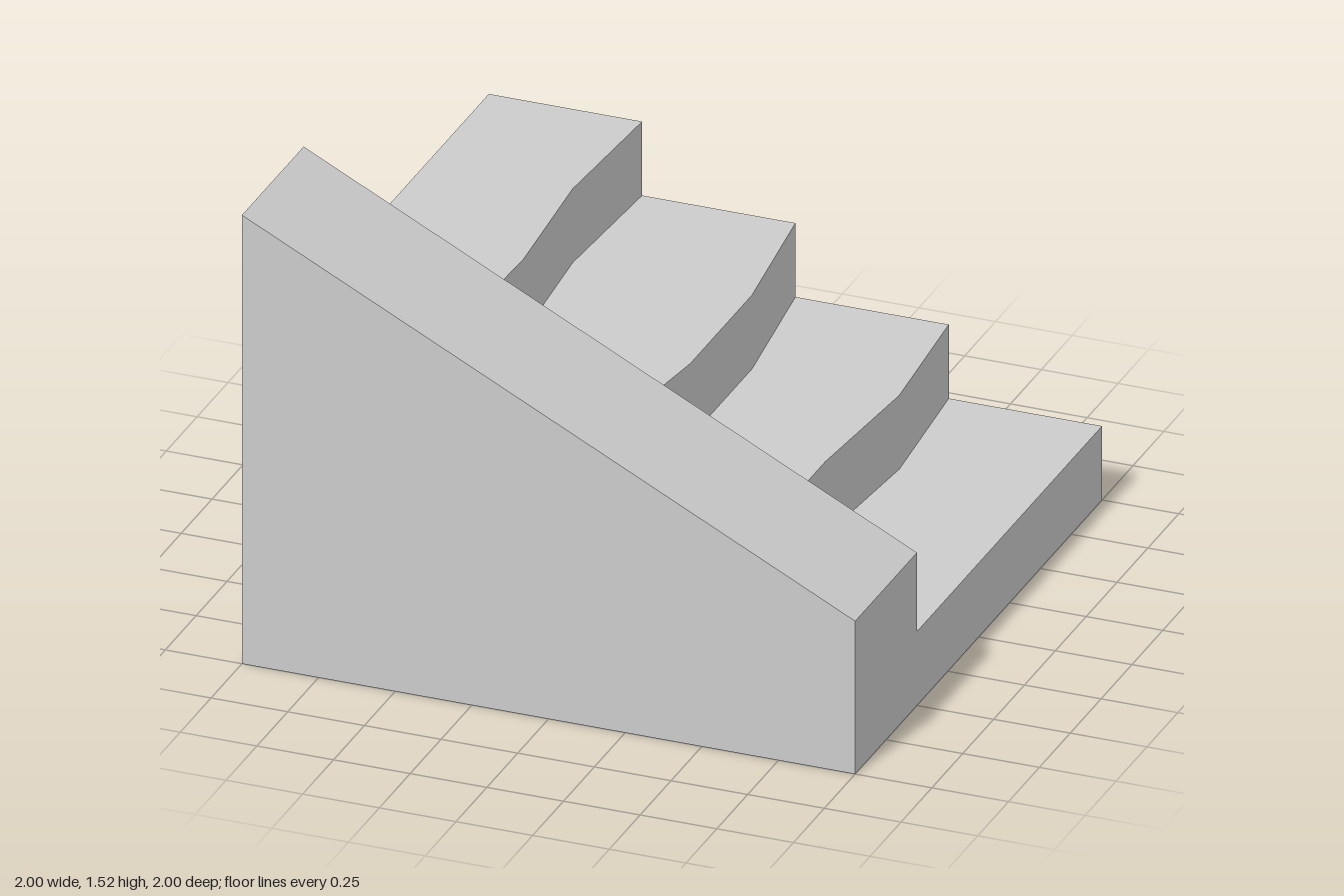
import * as THREE from 'three';

const material = new THREE.MeshStandardMaterial({ color: 0xcccccc, flatShading: true });

// Extrudes an (x, y) outline along z from zStart
function extrudeProfile(points, zStart, depth, steps = 1) {
  const shape = new THREE.Shape(points.map(([x, y]) => new THREE.Vector2(x, y)));
  const geometry = new THREE.ExtrudeGeometry(shape, { depth, steps, bevelEnabled: false });
  return geometry.translate(0, 0, zStart);
}

function makeMesh(name, geometry) {
  geometry.computeVertexNormals();
  const mesh = new THREE.Mesh(geometry, material);
  mesh.name = name;
  return mesh;
}

// Four steps descending towards +x, with worn, slightly wavy edges
function createSteps() {
  const count = 4, rise = 0.25, run = 0.5;
  const outline = [[-1, 0], [1, 0]];
  for (let i = 0; i < count; i++) {
    outline.push([1 - i * run, (i + 1) * rise], [1 - (i + 1) * run, (i + 1) * rise]);
  }
  const geometry = extrudeProfile(outline, -1, 1.5, 3);

  // Sideways shift of each riser at z = -0.5 and z = 0
  const wear = { '-0.5': [-0.025, 0.015], '0': [0.06, 0.06], '0.5': [0.04, 0] };
  const pos = geometry.attributes.position;
  for (let i = 0; i < pos.count; i++) {
    const x = pos.getX(i), z = pos.getZ(i);
    const section = Math.round((z + 0.5) / 0.5);
    const shift = wear[String(Math.round(x * 2) / 2)]?.[section] ?? 0;
    pos.setX(i, x + shift);
  }
  return makeMesh('steps', geometry);
}

export function createModel() {
  const model = new THREE.Group();
  model.name = 'staircase';
  model.add(createSteps());

  // Solid sloping side wall along the front
  const wall = [[-1, 0], [1, 0], [1, 0.517], [-1, 1.517]];
  model.add(makeMesh('sideWall', extrudeProfile(wall, 0.5, 0.5)));
  return model;
}
